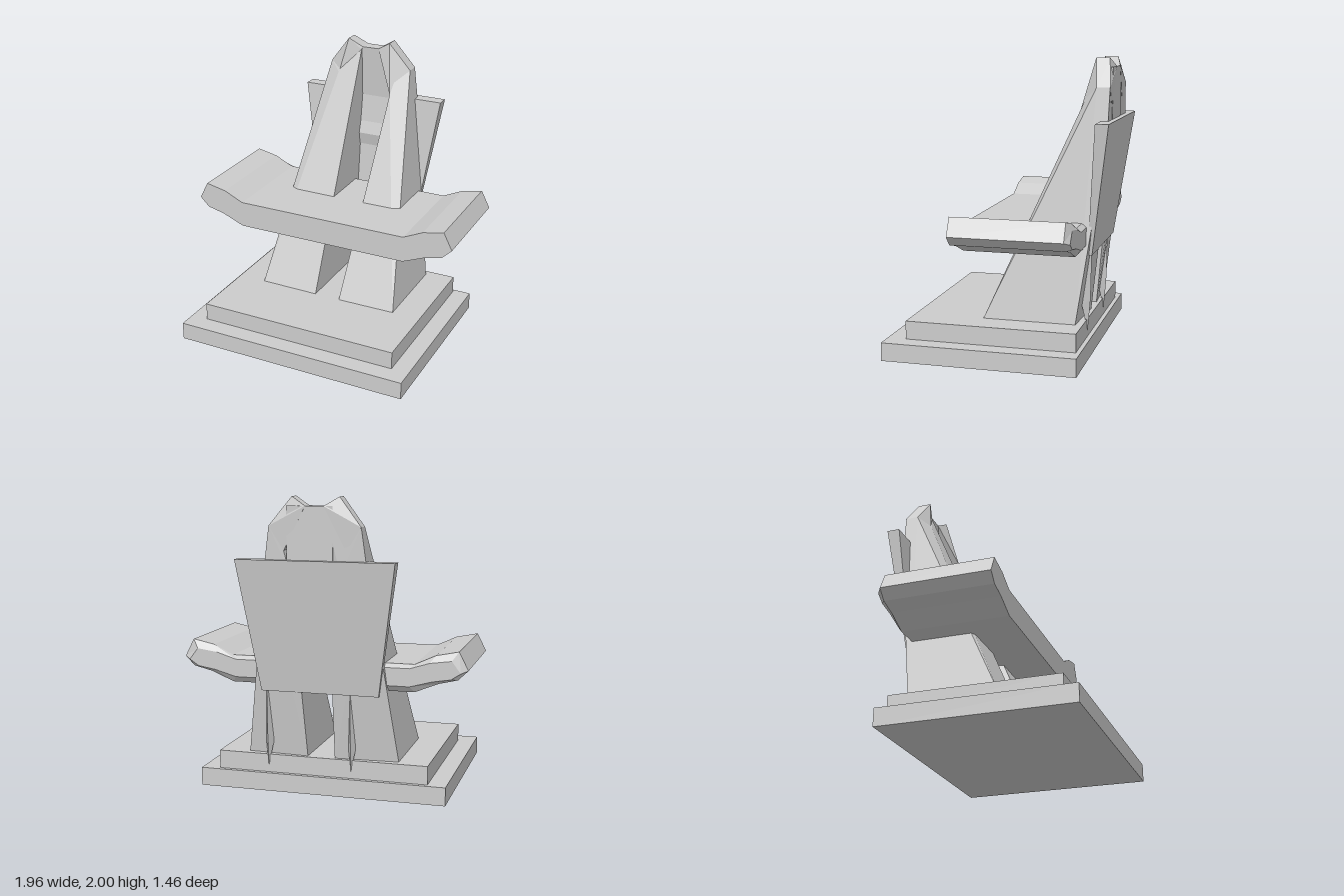
import * as THREE from 'three';
import { ConvexGeometry } from 'three/addons/geometries/ConvexGeometry.js';

const material = new THREE.MeshStandardMaterial({ color: 0xcccccc, flatShading: true });

function add(parent, name, geometry) {
  const mesh = new THREE.Mesh(geometry, material);
  mesh.name = name;
  parent.add(mesh);
  return mesh;
}

// Faceted solid wrapped around a few corners, optionally mirrored in x
function hull(corners, side = 1) {
  return new ConvexGeometry(corners.map(([x, y, z]) => new THREE.Vector3(x * side, y, z)));
}

function slab(halfWidth, y0, y1, zBack, zFront) {
  return new THREE.BoxGeometry(2 * halfWidth, y1 - y0, zFront - zBack)
    .translate(0, (y0 + y1) / 2, (zBack + zFront) / 2);
}

export function createModel() {
  const model = new THREE.Group();
  model.name = 'throne';

  // Stepped base
  add(model, 'lowerStep', slab(0.855, 0, 0.125, -0.6, 0.73));
  add(model, 'upperStep', slab(0.73, 0.125, 0.25, -0.57, 0.6));

  // Seat with upswept ends
  const half = [[0.63, 0.735], [0.79, 0.8], [0.915, 0.83], [0.982, 0.895],
    [0.92, 1.016], [0.77, 0.985], [0.63, 0.92]];
  const outline = [...half, ...half.map(([x, y]) => [-x, y]).reverse()];
  const shape = new THREE.Shape(outline.map(([x, y]) => new THREE.Vector2(x, y)));
  const seat = new THREE.ExtrudeGeometry(shape, { depth: 0.76, bevelEnabled: false });
  add(model, 'seat', seat.translate(0, 0, -0.54));

  // Chamfered rear edge of the seat
  const edge = new THREE.ExtrudeGeometry(shape, { depth: 0.032, bevelEnabled: false });
  edge.translate(0, 0, -0.572);
  const p = edge.attributes.position;
  for (let i = 0; i < p.count; i++) {
    if (p.getZ(i) < -0.56) p.setXY(i, p.getX(i) * 0.955, 0.85 + (p.getY(i) - 0.85) * 0.65);
  }
  edge.computeVertexNormals();
  add(model, 'seatRearEdge', edge);

  // Leaning backrest board, wider at the top
  const board = [];
  for (const s of [-1, 1]) {
    board.push([s * 0.538, 1.59, -0.64], [s * 0.538, 1.59, -0.73],
      [s * 0.405, 0.7, -0.575], [s * 0.405, 0.7, -0.605]);
  }
  add(model, 'backrest', hull(board));

  // Two raked pillars passing through the seat, with faceted peaks
  const pillars = [
    { side: -1, base: 0.09, top: [0.068, 1.92], spike: 0.21 },
    { side: 1, base: 0.1, top: [0.21, 1.65], spike: 0.37 },
  ];
  for (const { side, base, top: [tx, ty], spike } of pillars) {
    const pillar = new THREE.Group();
    pillar.name = side > 0 ? 'leftPillar' : 'rightPillar';
    model.add(pillar);
    const innerZ = 0.12 - 0.427 * (ty - 0.25);

    add(pillar, 'shaft', hull([
      [base, 0.25, 0.12], [0.525, 0.25, 0.115], [0.525, 0.25, -0.52], [base, 0.25, -0.545],
      [0.352, 1.5, -0.688], [0.17, 1.5, -0.688],
      [0.31, 1.81, -0.605], [0.31, 1.81, -0.695],
      [0.22, 1.75, -0.525], [tx, ty, innerZ], [tx, ty, -0.69],
    ], side));

    add(pillar, 'peak', hull([
      [0.16, 2, -0.572], [0.16, 2, -0.665],
      [0.062, 1.94, -0.6], [0.062, 1.94, -0.697],
      [0.31, 1.81, -0.605], [0.31, 1.81, -0.697],
      [0.22, 1.75, -0.535], [0.21, 1.65, -0.69], [tx, ty, innerZ],
    ], side));

    // Thin rib down the rear
    add(pillar, 'rearRib', hull([
      [spike, 0.17, -0.575], [spike, 0.88, -0.6], [spike, 0.4, -0.592],
      [spike - 0.03, 0.35, -0.54], [spike + 0.03, 0.35, -0.54],
    ], side));
  }

  // Recessed web joining the pillars: side profile run across x
  const profile = [[-0.695, 1.94], [-0.6, 1.94], [-0.632, 1.57], [-0.61, 1.37],
    [-0.585, 1.28], [-0.605, 1.19], [-0.65, 1.19], [-0.69, 1.5]];
  const web = new THREE.ExtrudeGeometry(
    new THREE.Shape(profile.map(([z, y]) => new THREE.Vector2(-z, y))),
    { depth: 0.31, bevelEnabled: false });
  add(model, 'centreWeb', web.rotateY(Math.PI / 2).translate(-0.12, 0, 0));

  // Centre the depth on the origin
  model.children.forEach((part) => { part.position.z = 0; });
  return model;
}
